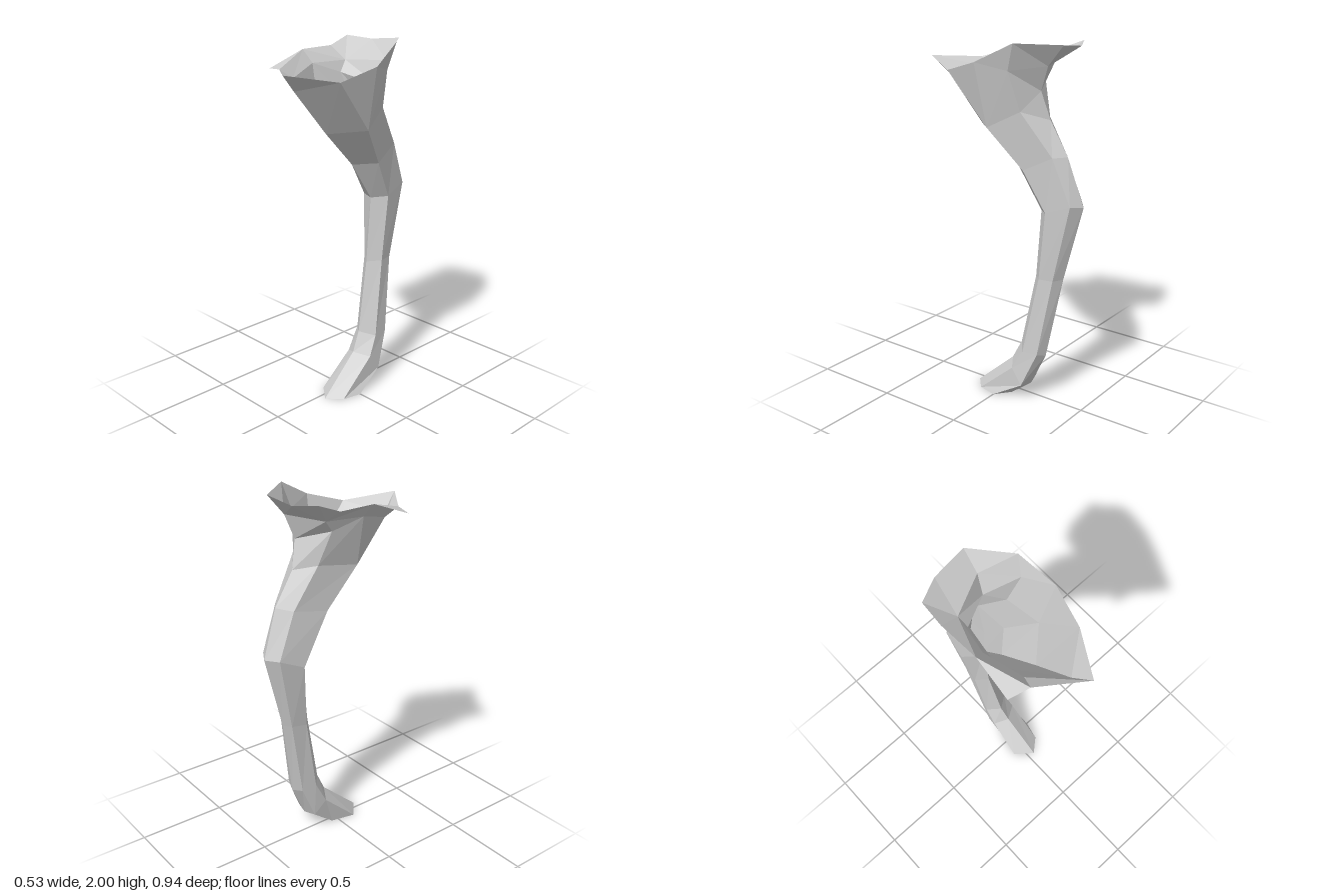
import * as THREE from 'three';

const material = new THREE.MeshStandardMaterial({
  color: 0xcccccc, flatShading: true, side: THREE.DoubleSide,
});

// Cross-sections from sole to thigh, each ordered:
// front, right, back-right, back, back-left, left
const rings = {
  sole: [[.04, 0, .18], [.12, 0, .11], [.145, 0, 0], [.06, 0, -.07], [-.03, 0, -.04], [-.06, 0, .1]],
  ankle: [[.03, .21, -.055], [.115, .19, -.11], [.12, .1, -.175], [.04, .09, -.19], [-.035, .1, -.17], [-.05, .18, -.1]],
  pastern: [[.02, .32, -.11], [.1, .3, -.17], [.09, .3, -.26], [.03, .28, -.28], [-.03, .29, -.25], [-.05, .31, -.17]],
  shin: [[0, .73, -.19], [.065, .74, -.25], [.05, .74, -.33], [-.01, .74, -.36], [-.055, .74, -.33], [-.065, .73, -.24]],
  hock: [[0, 1.11, -.22], [.07, 1.12, -.29], [.05, 1.17, -.43], [-.02, 1.16, -.47], [-.09, 1.16, -.42], [-.11, 1.1, -.28]],
  knee: [[0, 1.33, -.07], [.105, 1.34, -.17], [.07, 1.42, -.33], [0, 1.42, -.38], [-.08, 1.41, -.32], [-.11, 1.38, -.13]],
  thigh: [[.03, 1.54, .15], [.19, 1.56, 0], [.13, 1.65, -.17], [0, 1.6, -.27], [-.1, 1.63, -.18], [-.13, 1.6, .05]],
};

// Flat-shaded mesh from polygons, each fanned into triangles
function polygonMesh(name, polygons) {
  const positions = [];
  for (const p of polygons) {
    for (let i = 1; i < p.length - 1; i++) positions.push(...p[0], ...p[i], ...p[i + 1]);
  }
  const geometry = new THREE.BufferGeometry();
  geometry.setAttribute('position', new THREE.Float32BufferAttribute(positions, 3));
  geometry.computeVertexNormals();
  const mesh = new THREE.Mesh(geometry, material);
  mesh.name = name;
  return mesh;
}

// Quads joining consecutive cross-sections
function loft(...names) {
  const faces = [];
  for (let k = 0; k < names.length - 1; k++) {
    const a = rings[names[k]], b = rings[names[k + 1]];
    a.forEach((p, i) => {
      const j = (i + 1) % a.length;
      faces.push([p, a[j], b[j], b[i]]);
    });
  }
  return faces;
}

// Open, flared hip with a flange reaching in to the body's centre line
function hipFaces() {
  const [f, r, rb, b, lb, l] = rings.thigh;
  // Muscle points below the rim
  const frontLow = [.035, 1.79, .37], sideLow = [.19, 1.86, -.135];
  const backLow = [.03, 1.75, -.23], backMid = [.045, 1.88, -.28];
  const innerLow = [-.15, 1.81, -.13];
  // Outer rim
  const tip = [.07, 1.885, .47], rim1 = [.22, 1.84, .23], rim2 = [.265, 1.9, .02];
  const rim3 = [.21, 2, -.18], rim4 = [.05, 1.99, -.375], rim5 = [-.14, 1.97, -.36];
  // Crease at the inner thigh
  const groinBack = [-.165, 1.87, -.18], groinMid = [-.2, 1.87, .03], groinFront = [-.13, 1.82, .23];
  // Flange edge
  const edgeBack = [-.268, 1.985, -.295], edgeMid = [-.268, 1.94, -.17];
  const edgeInner = [-.255, 1.94, .05], edgeFront = [-.268, 1.86, .27], edgeTip = [-.155, 1.87, .3];
  return [
    // Front and outer side
    [f, r, rim1, frontLow], [frontLow, rim1, tip], [r, rim2, rim1],
    [r, rb, sideLow, rim2], [rim2, sideLow, rim3],
    // Back
    [rb, b, backLow, sideLow], [sideLow, backLow, backMid, rim3], [rim3, backMid, rim4],
    [b, lb, innerLow, backLow], [backLow, innerLow, groinBack, backMid],
    [backMid, groinBack, rim5, rim4],
    // Inner side
    [lb, l, groinMid, innerLow], [innerLow, groinMid, groinBack],
    [l, groinFront, groinMid], [l, f, frontLow, groinFront], [groinFront, frontLow, tip, edgeTip],
    // Flange
    [groinBack, edgeBack, rim5], [groinBack, edgeMid, edgeBack],
    [groinBack, groinMid, edgeInner, edgeMid], [groinMid, groinFront, edgeInner],
    [groinFront, edgeTip, edgeInner], [edgeInner, edgeTip, edgeFront],
  ];
}

export function createModel() {
  const leg = new THREE.Group();
  leg.name = 'hindLeg';
  leg.add(
    polygonMesh('foot', [[...rings.sole].reverse(), ...loft('sole', 'ankle', 'pastern')]),
    polygonMesh('lowerLeg', loft('pastern', 'shin', 'hock')),
    polygonMesh('thigh', loft('hock', 'knee', 'thigh')),
    polygonMesh('hip', hipFaces()),
  );
  return leg;
}
